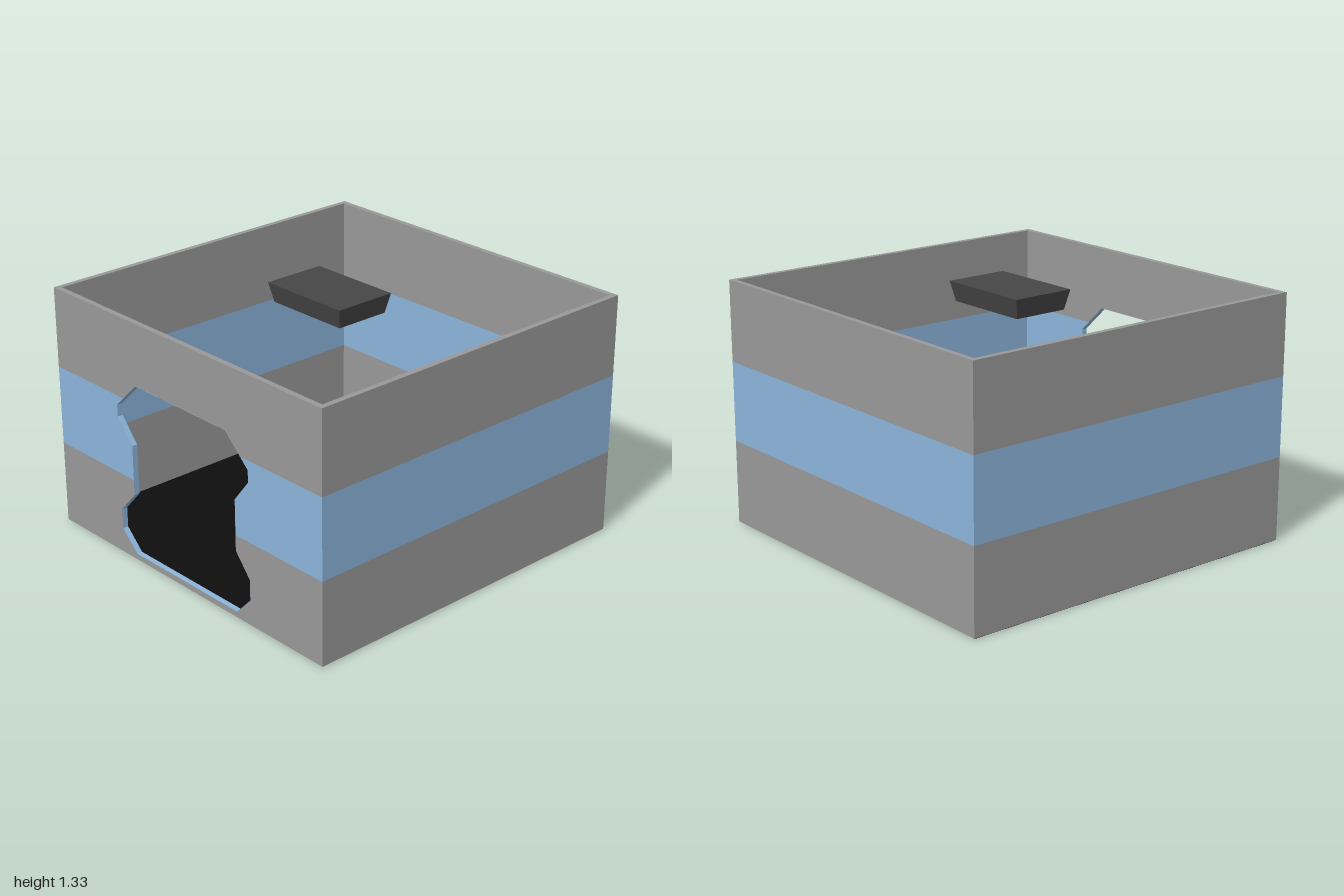
import * as THREE from 'three';

const GREY = new THREE.MeshStandardMaterial({ color: 0x999999 });
const BLUE = new THREE.MeshStandardMaterial({ color: 0x8cb5dc });
const BLUE_THIN = new THREE.MeshStandardMaterial({ color: 0x8cb5dc, side: THREE.DoubleSide });
const BLACK = new THREE.MeshStandardMaterial({ color: 0x0e0e0e });
const DARK = new THREE.MeshStandardMaterial({ color: 0x464646, flatShading: true });

const T = 0.03; // wall thickness
const BASE = 0.004, TOP = 1.32;
const LOW = 0.455, HIGH = 0.885; // limits of the blue band

function add(parent, name, geometry, material, x = 0, y = 0, z = 0) {
  const mesh = new THREE.Mesh(geometry, material);
  mesh.name = name;
  mesh.position.set(x, y, z);
  parent.add(mesh);
  return mesh;
}

const toShape = (pts) => new THREE.Shape(pts.map(([x, y]) => new THREE.Vector2(x, y)));

export function createModel() {
  const model = new THREE.Group();
  model.name = 'room';

  const bands = [
    ['lowerWall', BASE, LOW, GREY],
    ['wallBand', LOW, HIGH, BLUE],
    ['upperWall', HIGH, TOP, GREY],
  ];

  // back and side walls, in three stacked bands
  for (const [name, y0, y1, mat] of bands) {
    const h = y1 - y0, y = (y0 + y1) / 2;
    add(model, name + 'Back', new THREE.BoxGeometry(2, h, T), mat, 0, y, -1 + T / 2);
    for (const [side, s] of [['Left', 1], ['Right', -1]]) {
      add(model, name + side, new THREE.BoxGeometry(T, h, 2 - 2 * T), mat, s * (1 - T / 2), y, 0);
    }
  }

  // doorway outline, split where the band crosses it
  const doorBottom = [
    [-0.40, LOW], [-0.40, 0.37], [-0.51, 0.25], [-0.51, 0.14], [-0.40, 0.035],
    [0.39, 0.035], [0.49, 0.14], [0.49, 0.25], [0.39, 0.37], [0.39, LOW],
  ];
  const doorRight = [[0.39, LOW], [0.39, 0.645], [0.49, 0.77], [0.49, 0.835], [0.437, HIGH]];
  const doorTop = [[0.437, HIGH], [0.33, 0.985], [-0.35, 0.985], [-0.457, HIGH]];
  const doorLeft = [[-0.457, HIGH], [-0.51, 0.835], [-0.51, 0.77], [-0.40, 0.645], [-0.40, LOW]];

  // front wall around the doorway
  const frontPieces = [
    ['lowerWallFront', [[-1, LOW], ...doorBottom, [1, LOW], [1, BASE], [-1, BASE]], GREY],
    ['wallBandFrontLeft', [...doorRight, [1, HIGH], [1, LOW]], BLUE],
    ['wallBandFrontRight', [...doorLeft, [-1, LOW], [-1, HIGH]], BLUE],
    ['upperWallFront', [[1, HIGH], ...doorTop, [-1, HIGH], [-1, TOP], [1, TOP]], GREY],
  ];
  for (const [name, pts, mat] of frontPieces) {
    const geo = new THREE.ExtrudeGeometry(toShape(pts), { depth: T, bevelEnabled: false });
    add(model, name, geo, mat, 0, 0, 1 - T);
  }

  // blue lining of the doorway
  const outline = [...doorBottom, ...doorRight.slice(1), ...doorTop.slice(1), ...doorLeft.slice(1, -1)];
  const positions = [];
  outline.forEach((a, i) => {
    const b = outline[(i + 1) % outline.length];
    const [[ax, ay], [bx, by]] = [a, b].map(([x, y]) => [-0.01 + (x + 0.01) * 0.998, 0.51 + (y - 0.51) * 0.998]);
    const z0 = 1 - T, z1 = 1;
    positions.push(ax, ay, z1, bx, by, z0, bx, by, z1, ax, ay, z1, ax, ay, z0, bx, by, z0);
  });
  const lining = new THREE.BufferGeometry();
  lining.setAttribute('position', new THREE.Float32BufferAttribute(positions, 3));
  lining.computeVertexNormals();
  add(model, 'doorLining', lining, BLUE_THIN);

  // floor
  add(model, 'floorBase', new THREE.BoxGeometry(1.99, BASE, 1.99), BLACK, 0, BASE / 2, 0);
  add(model, 'floor', new THREE.BoxGeometry(2 - 2 * T, 0.016, 2 - 2 * T), BLACK, 0, 0.012, 0);

  // small wall switch beside the door, on the inside
  add(model, 'wallSwitch', new THREE.BoxGeometry(0.065, 0.09, 0.015), BLUE, -0.588, 0.67, 1 - T - 0.0075);

  // hanging ceiling lamp, narrower at the bottom
  const lampGeo = new THREE.BoxGeometry(0.53, 0.105, 0.35);
  const p = lampGeo.attributes.position;
  for (let i = 0; i < p.count; i++) {
    if (p.getY(i) < 0) {
      p.setX(i, p.getX(i) - Math.sign(p.getX(i)) * 0.022);
      p.setZ(i, p.getZ(i) - Math.sign(p.getZ(i)) * 0.022);
    }
  }
  lampGeo.computeVertexNormals();
  add(model, 'ceilingLamp', lampGeo, DARK, -0.035, 1.2775, 0.005);

  return model;
}
